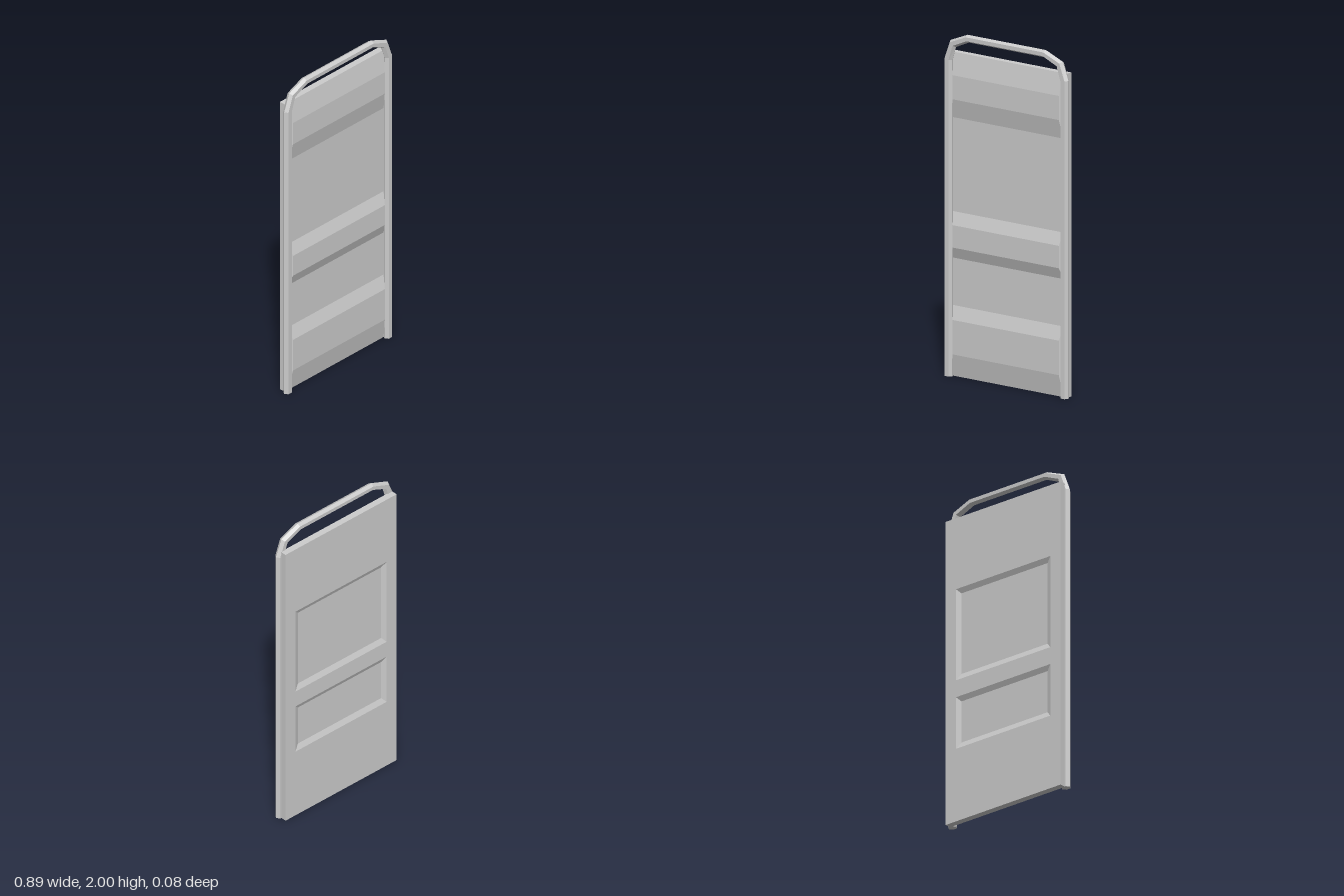
import * as THREE from 'three';

const material = new THREE.MeshStandardMaterial({ color: 0xcccccc, flatShading: true, side: THREE.DoubleSide });

// Collects flat polygons (fans of [x, y, z] corners, counter-clockwise from outside) into a mesh.
function polygonMesh(name, polygons) {
  const positions = [];
  for (const p of polygons)
    for (let i = 1; i < p.length - 1; i++) positions.push(...p[0], ...p[i], ...p[i + 1]);
  const geometry = new THREE.BufferGeometry();
  geometry.setAttribute('position', new THREE.Float32BufferAttribute(positions, 3));
  geometry.computeVertexNormals();
  const mesh = new THREE.Mesh(geometry, material);
  mesh.name = name;
  return mesh;
}

// Relief sheet over a grid; each cell is split along its steepest diagonal so corners mitre.
function relief(xs, ys, height, back) {
  const polygons = [];
  for (let i = 0; i < xs.length - 1; i++)
    for (let j = 0; j < ys.length - 1; j++) {
      const at = (a, b) => [xs[i + a], ys[j + b], height(xs[i + a], ys[j + b])];
      const [a, b, c, d] = [at(0, 0), at(1, 0), at(1, 1), at(0, 1)];
      const tris = Math.abs(a[2] - c[2]) > Math.abs(b[2] - d[2]) ? [[a, b, c], [a, c, d]] : [[a, b, d], [b, c, d]];
      polygons.push(...tris.map((t) => (back ? t.reverse() : t)));
    }
  return polygons;
}

const W = 0.42, H = 1.88, FRONT = 0, BACK = -0.04;

function createPanel() {
  // Front: three raised horizontal bands with sloped borders
  const bands = [[0, 0.13, 0.33, 0.41], [0.685, 0.75, 0.88, 0.955], [1.5, 1.61, 1.75, H]];
  const front = relief([-W, -0.395, -0.38, 0.38, 0.395, W], bands.flat(), (x, y) =>
    Math.abs(x) < 0.39 && bands.some((b) => y === b[1] || y === b[2]) ? FRONT + 0.024 : FRONT);

  // Back: two shallow recessed fields with bevelled borders
  const fields = [[0.45, 0.485, 0.74, 0.77], [0.875, 0.91, 1.41, 1.44]];
  const back = relief([-W, -0.345, -0.315, 0.315, 0.345, W], [0, ...fields.flat(), H], (x, y) =>
    Math.abs(x) < 0.33 && fields.some((f) => y === f[1] || y === f[2]) ? BACK + 0.013 : BACK, true);

  // Edges around the sheet
  const outline = [[-W, 0], [W, 0], [W, H], [-W, H]];
  const edges = outline.map((p, i) => {
    const q = outline[(i + 1) % 4];
    return [[...p, BACK], [...q, BACK], [...q, FRONT], [...p, FRONT]];
  });
  return polygonMesh('doorPanel', [...front, ...back, ...edges]);
}

function createFrame() {
  // Centre line with the half width of the hexagonal bar at each point
  const half = [[0.415, 0, 0.028], [0.415, 1.84, 0.028], [0.383, 1.932, 0.024], [0.275, 1.977, 0.022]];
  const path = [...half.map(([x, y, r]) => [-x, y, r]), ...half.slice().reverse()];
  const sideNormal = (i) => {
    const [a, b] = [path[i], path[i + 1]];
    return new THREE.Vector2(a[1] - b[1], b[0] - a[0]).normalize();
  };
  const rings = path.map(([x, y, r], i) => {
    const n0 = sideNormal(Math.max(i - 1, 0));
    const n1 = sideNormal(Math.min(i, path.length - 2));
    const n = n0.clone().add(n1).normalize();
    n.divideScalar(n.dot(n0)); // mitre length
    return Array.from({ length: 6 }, (_, k) => {
      const a = (k * Math.PI) / 3, u = r * Math.cos(a);
      return [x + n.x * u, y + n.y * u, 0.015 + 0.0231 * Math.sin(a)];
    });
  });
  const polygons = [rings[0].slice().reverse(), rings[rings.length - 1]];
  for (let i = 0; i < rings.length - 1; i++)
    for (let k = 0; k < 6; k++) {
      const m = (k + 1) % 6;
      polygons.push([rings[i][k], rings[i][m], rings[i + 1][m], rings[i + 1][k]]);
    }
  return polygonMesh('tubeFrame', polygons);
}

export function createModel() {
  const model = new THREE.Group();
  model.name = 'framedPanel';
  model.add(createPanel(), createFrame());
  return model;
}
